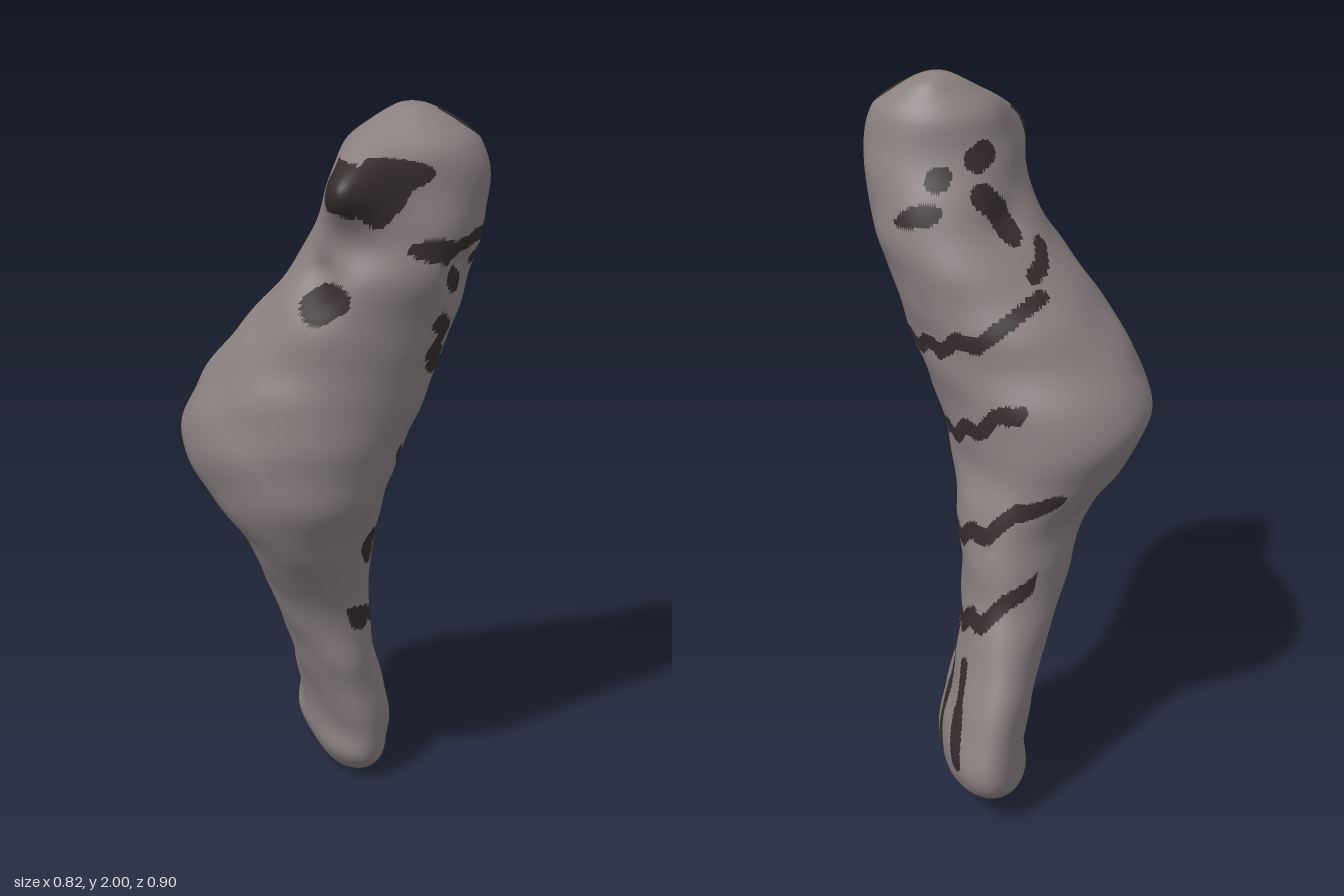
import * as THREE from 'three';

const grey = new THREE.MeshStandardMaterial({ color: 0x8a8080 });
grey.name = 'warm grey skin';
const dark = new THREE.MeshStandardMaterial({ color: 0x352c2c });
dark.name = 'dark markings';

// Body profile from tail to crown: y, xMin, xMax, zMin, zMax, diagonal skew
const profile = [
  [0, 0.05, 0.054, -0.042, -0.038, 0.4],
  [0.012, 0, 0.115, -0.14, 0.01, 0.4],
  [0.05, -0.055, 0.155, -0.3, 0.06, 0.4],
  [0.1, -0.09, 0.17, -0.42, 0.095, 0.4],
  [0.2, -0.09, 0.175, -0.44, 0.11, 0.38],
  [0.4, -0.125, 0.13, -0.38, 0.15, 0.27],
  [0.6, -0.18, 0.11, -0.295, 0.185, 0.04],
  [0.8, -0.24, 0.13, -0.245, 0.31, -0.1],
  [0.95, -0.345, 0.155, -0.225, 0.39, 0.06],
  [1.1, -0.41, 0.2, -0.225, 0.41, 0.13],
  [1.25, -0.355, 0.26, -0.175, 0.41, 0.08],
  [1.4, -0.25, 0.31, -0.14, 0.41, 0.02],
  [1.6, -0.09, 0.375, -0.08, 0.42, -0.1],
  [1.8, 0, 0.405, -0.005, 0.35, -0.03],
  [1.9, 0.035, 0.385, 0.02, 0.33, 0],
  [1.955, 0.1, 0.325, 0.055, 0.285, 0],
  [1.99, 0.16, 0.255, 0.09, 0.235, 0],
  [2, 0.203, 0.207, 0.163, 0.167, 0],
];

// Smooth Catmull-Rom blend of the profile rows
function section(t) {
  const n = profile.length - 1;
  const i = Math.min(Math.floor(t * n), n - 1);
  const f = t * n - i;
  const row = (k) => profile[Math.max(0, Math.min(n, k))];
  const [a, b, c, d] = [row(i - 1), row(i), row(i + 1), row(i + 2)];
  return b.map((v, k) => v + 0.5 * f * (c[k] - a[k]
    + f * (2 * a[k] - 5 * v + 4 * c[k] - d[k] + f * (3 * (v - c[k]) + d[k] - a[k]))));
}

// Soft pulls on the skin: centre, reach and movement
const pulls = [
  { at: new THREE.Vector3(0.075, 1.81, 0.3), reach: 0.1, move: new THREE.Vector3(-0.065, 0.005, 0.14) }, // muzzle
  { at: new THREE.Vector3(-0.02, 1.56, 0.33), reach: 0.06, move: new THREE.Vector3(0.035, 0.01, -0.05) }, // mouth
  { at: new THREE.Vector3(0.33, 1.58, 0.28), reach: 0.065, move: new THREE.Vector3(-0.035, 0, -0.02) }, // left eye socket
  { at: new THREE.Vector3(0.32, 1.57, 0.27), reach: 0.03, move: new THREE.Vector3(0.025, 0, 0.01) }, // left eyeball
  { at: new THREE.Vector3(0.0, 1.62, 0.03), reach: 0.055, move: new THREE.Vector3(0.016, 0, 0.016) }, // right eye socket
];

// Directions from which markings are laid onto the skin
const S = Math.SQRT1_2;
const side = { facing: new THREE.Vector3(1, 0, 0), map: (p) => [p.z, p.y] };
const innerSide = { facing: new THREE.Vector3(-1, 0, 0), map: (p) => [p.z, p.y] };
const front = { facing: new THREE.Vector3(0, 0, 1), map: (p) => [p.x, p.y] };
const rear = {
  facing: new THREE.Vector3(-S, 0.4, -S),
  map: (p) => [(p.z - p.x) * S, (p.y - 1) * 0.906 + (p.x + p.z) * 0.299],
};
const back = {
  facing: new THREE.Vector3(S, 0, -S),
  map: (p) => [-(p.x + p.z) * S, (p.y - 1) * 0.906 + (p.x - p.z) * 0.299],
};

const strokes = [];
const stroke = (plane, radius, ...points) => strokes.push({ plane, radius, points });

// Wavy bands across the back: start, end
for (const [u0, v0, u1, v1] of [
  [-0.36, 0.305, 0.13, 0.385],
  [-0.12, 0.08, 0.19, 0.2],
  [-0.17, -0.19, 0.26, -0.045],
  [-0.14, -0.43, 0.25, -0.255],
]) {
  const points = [];
  for (let i = 0; i <= 16; i++) {
    const u = u0 + (u1 - u0) * i / 16;
    points.push([u, v0 + (v1 - v0) * i / 16 + 0.014 * Math.sin(55 * (u - u0))]);
  }
  stroke(back, 0.021, ...points);
}

// Fin rays on the tail, widening downwards
for (const [z0, y0, z1, y1] of [
  [-0.045, 0.43, -0.06, 0.1],
  [-0.125, 0.49, -0.21, 0.14],
  [-0.26, 0.43, -0.365, 0.18],
]) {
  stroke(side, 0.02, [z0, y0], [z1, y1]);
  stroke(side, 0.028, [(z0 + z1) / 2, (y0 + y1) / 2], [z1, y1]);
}

// Flank blots
stroke(side, 0.022, [0.23, 1.09], [0.18, 1.04], [0.12, 1.04]);
stroke(side, 0.035, [0.16, 0.81], [0.1, 0.75]);
stroke(side, 0.024, [0.3, 1.46], [0.26, 1.43], [0.29, 1.38], [0.24, 1.36]);
// Crown spot, brow and left eye
stroke(side, 0.034, [0.175, 1.95], [0.165, 1.95]);
stroke(side, 0.03, [0.37, 1.66], [0.35, 1.65]);
stroke(side, 0.022, [0.34, 1.65], [0.24, 1.675], [0.16, 1.68], [0.17, 1.63], [0.2, 1.615]);
stroke(side, 0.027, [0.285, 1.575], [0.26, 1.555]);
// Nose tip
stroke(front, 0.042, [0.02, 1.84], [0.07, 1.82], [0.11, 1.765]);
stroke(front, 0.04, [0.01, 1.82], [0.04, 1.79]);
stroke(side, 0.04, [0.42, 1.79], [0.4, 1.83], [0.38, 1.85]);
stroke(innerSide, 0.06, [0.42, 1.82], [0.4, 1.82]);
// Mouth
stroke(front, 0.038, [-0.045, 1.51], [0.005, 1.54]);
// Right eye and the spots around it
stroke(rear, 0.035, [-0.03, 0.75], [0, 0.765]);
stroke(rear, 0.028, [-0.14, 0.715], [-0.13, 0.73]);
stroke(rear, 0.03, [-0.2, 0.645], [-0.18, 0.64]);
stroke(rear, 0.038, [-0.035, 0.65], [0.005, 0.61], [0.025, 0.545]);
stroke(rear, 0.023, [0.035, 0.415], [0.08, 0.44], [0.115, 0.5]);

function segmentDistance(x, y, [ax, ay], [bx, by]) {
  const dx = bx - ax, dy = by - ay;
  const f = THREE.MathUtils.clamp(((x - ax) * dx + (y - ay) * dy) / (dx * dx + dy * dy), 0, 1);
  return Math.hypot(x - ax - dx * f, y - ay - dy * f);
}

function isPainted(p, normal) {
  return strokes.some(({ plane, radius, points }) => {
    if (normal.dot(plane.facing) < 0.04) return false;
    const [u, v] = plane.map(p);
    return points.some((q, k) => k > 0 && segmentDistance(u, v, points[k - 1], q) < radius);
  });
}

function bodyGeometry() {
  const rows = 280, cols = 220;
  const points = [];
  for (let i = 0; i <= rows; i++) {
    const [y, x0, x1, z0, z1, skew] = section(i / rows);
    const phi = Math.asin(skew);
    for (let j = 0; j < cols; j++) {
      const a = (j / cols) * Math.PI * 2;
      const out = new THREE.Vector3((x1 - x0) / 2 * Math.cos(a), 0, (z1 - z0) / 2 * Math.sin(a + phi));
      const p = new THREE.Vector3((x0 + x1) / 2, y, (z0 + z1) / 2).add(out);
      // gentle hand-modelled unevenness
      const fade = Math.min(1, out.length() * 8);
      const bump = Math.sin(23 * y + 9 * p.x) * Math.sin(19 * p.z + 5 * y) + Math.sin(41 * y - 17 * p.z) * 0.5;
      const start = p.clone();
      p.addScaledVector(out.normalize(), 0.003 * fade * bump);
      for (const { at, reach, move } of pulls) {
        p.addScaledVector(move, Math.exp(-start.distanceToSquared(at) / (reach * reach)));
      }
      points.push(p);
    }
  }
  // sort faces into plain and painted
  const plain = [], painted = [];
  const tri = new THREE.Triangle(), mid = new THREE.Vector3(), normal = new THREE.Vector3();
  const face = (a, b, c) => {
    tri.set(points[a], points[b], points[c]);
    tri.getMidpoint(mid);
    tri.getNormal(normal);
    (isPainted(mid, normal) ? painted : plain).push(a, b, c);
  };
  for (let i = 0; i < rows; i++) {
    for (let j = 0; j < cols; j++) {
      const a = i * cols + j, b = i * cols + (j + 1) % cols;
      face(a, a + cols, b);
      face(b, a + cols, b + cols);
    }
  }
  const geometry = new THREE.BufferGeometry().setFromPoints(points);
  geometry.setIndex([...plain, ...painted]);
  geometry.addGroup(0, plain.length, 0);
  geometry.addGroup(plain.length, painted.length, 1);
  geometry.computeVertexNormals();
  return geometry;
}

export function createModel() {
  const model = new THREE.Group();
  model.name = 'striped animal figure';
  const body = new THREE.Mesh(bodyGeometry(), [grey, dark]);
  body.name = 'body';
  model.add(body);
  return model;
}
